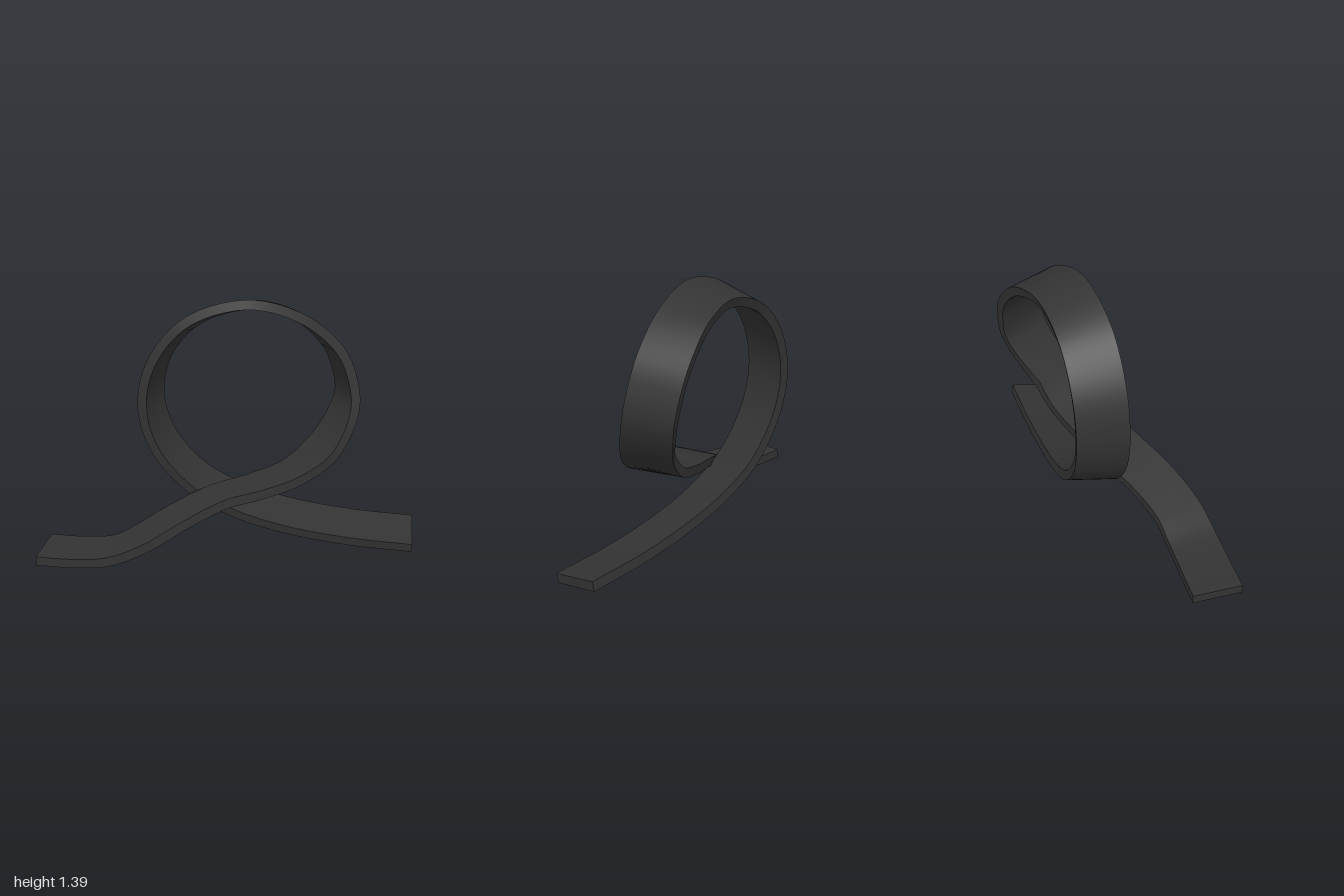
import * as THREE from 'three';
import { mergeGeometries } from 'three/addons/utils/BufferGeometryUtils.js';

const WIDTH = 0.27, THICK = 0.052, STEPS = 220;

// Outer front edge of the band: x, y, z, then the direction across the band (x, y, z)
const stations = [
  [-1, 0.02, 0.425, 0, 0, -1],
  [-0.8, 0.023, 0.432, 0, 0, -1],
  [-0.6, 0.047, 0.432, -0.05, 0, -1],
  [-0.4, 0.125, 0.4, -0.25, 0, -1],
  [-0.2, 0.23, 0.31, -0.45, -0.1, -0.9],
  [0, 0.31, 0.2, -0.43, -0.1, -0.9],
  [0.2, 0.345, 0.115, -0.42, -0.07, -0.9],
  [0.4, 0.405, 0.03, -0.43, -0.05, -0.9],
  [0.58, 0.535, -0.06, -0.43, 0.1, -0.9],
  [0.68, 0.78, -0.165, -0.38, 0.1, -0.92],
  [0.65, 0.98, -0.19, -0.38, 0, -0.92],
  [0.57, 1.135, -0.185, -0.34, -0.12, -0.93],
  [0.37, 1.305, -0.14, -0.15, -0.23, -0.96],
  [0.08, 1.39, -0.08, 0, -0.26, -0.96],
  [-0.25, 1.295, -0.045, 0.1, -0.2, -0.97],
  [-0.45, 1.07, -0.033, 0.15, -0.1, -0.98],
  [-0.52, 0.8, -0.03, 0.18, 0, -0.98],
  [-0.455, 0.535, -0.026, 0.16, 0.09, -0.98],
  [-0.25, 0.29, -0.025, 0.1, 0.15, -0.98],
  [0, 0.155, -0.025, 0.06, 0.18, -0.98],
  [0.3, 0.07, -0.025, 0.03, 0.19, -0.98],
  [0.65, 0.02, -0.028, 0.01, 0.19, -0.98],
  [1, 0, -0.03, 0, 0.19, -0.98],
];

// Four corners of the rectangular section at parameter u
function section(edge, across, u) {
  const p = edge.getPoint(u), t = edge.getTangent(u), w = across.getPoint(u);
  w.addScaledVector(t, -w.dot(t)).normalize();
  const n = new THREE.Vector3().crossVectors(t, w).multiplyScalar(THICK);
  const back = p.clone().addScaledVector(w, WIDTH);
  return [p, back, back.clone().add(n), p.clone().add(n)];
}

function surface(points, index) {
  const g = new THREE.BufferGeometry().setFromPoints(points);
  g.setIndex(index);
  g.computeVertexNormals();
  return g;
}

// Separate strips per side keep the long edges sharp and the curve smooth
function sweepBand() {
  const edge = new THREE.CatmullRomCurve3(stations.map(s => new THREE.Vector3(s[0], s[1], s[2])));
  const across = new THREE.CatmullRomCurve3(stations.map(s => new THREE.Vector3(s[3], s[4], s[5])));
  const rings = [];
  for (let i = 0; i <= STEPS; i++) rings.push(section(edge, across, i / STEPS));

  const parts = [];
  for (let side = 0; side < 4; side++) {
    const pts = [], index = [];
    rings.forEach((r, i) => {
      pts.push(r[side], r[(side + 1) % 4]);
      if (i < STEPS) {
        const a = 2 * i;
        index.push(a, a + 1, a + 3, a, a + 3, a + 2);
      }
    });
    parts.push(surface(pts, index));
  }
  // End caps
  parts.push(surface(rings[0], [0, 2, 1, 0, 3, 2]));
  parts.push(surface(rings[STEPS], [0, 1, 2, 0, 2, 3]));
  return mergeGeometries(parts);
}

export function createModel() {
  const group = new THREE.Group();
  group.name = 'loopTrack';
  const band = new THREE.Mesh(sweepBand(), new THREE.MeshStandardMaterial({ color: 0x333333 }));
  band.name = 'trackBand';
  group.add(band);
  return group;
}
